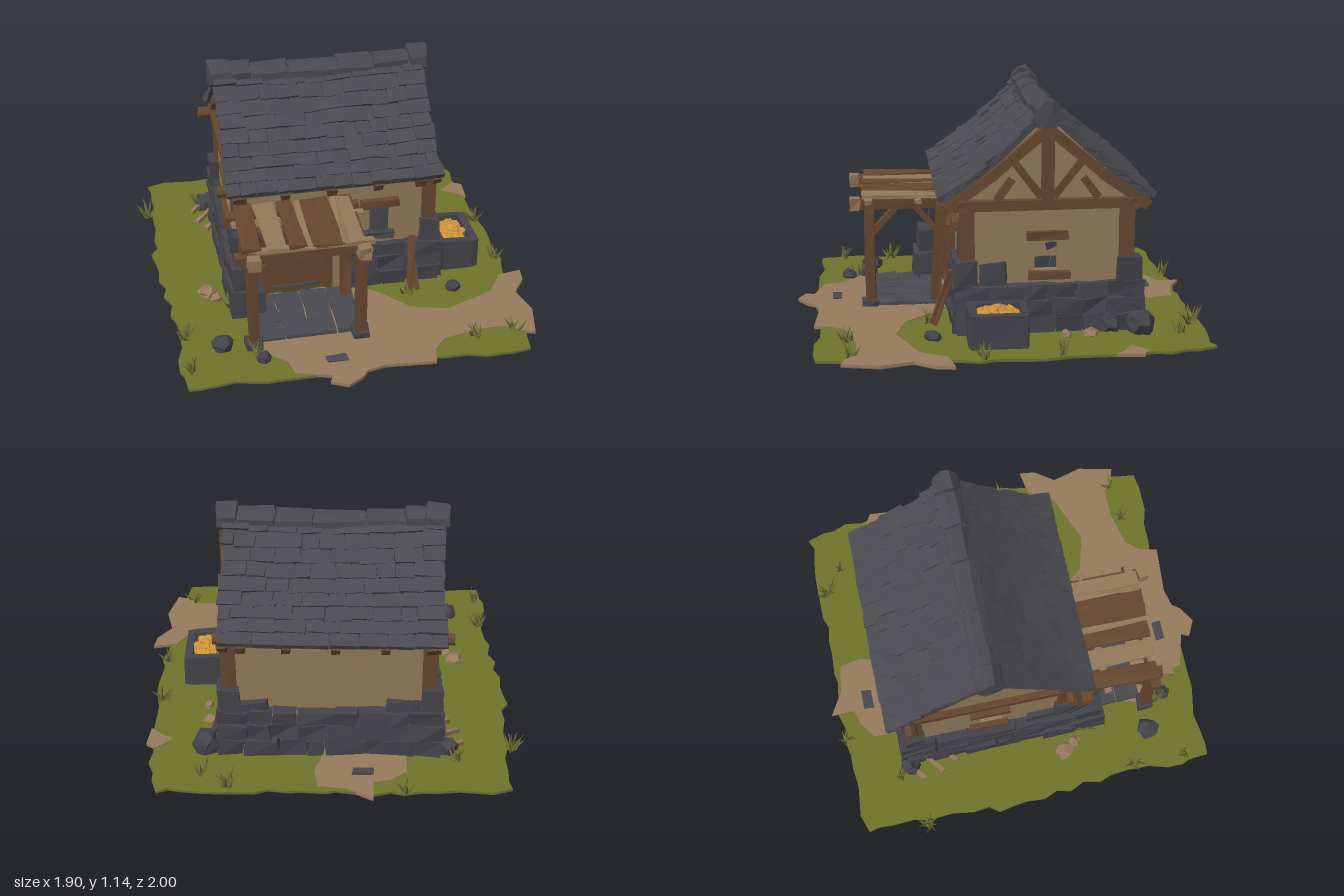
import * as THREE from 'three';
import { mergeGeometries } from 'three/addons/utils/BufferGeometryUtils.js';

const V = (x, y, z) => new THREE.Vector3(x, y, z);
const mat = (name, color) => Object.assign(new THREE.MeshStandardMaterial({ color }), { name });

export function createModel() {
  const slate = mat('slate', 0x49494f), stone = mat('stone', 0x43434a), wood = mat('wood', 0x664730),
    paleWood = mat('pale wood', 0x93785a), plaster = mat('plaster', 0x927a5b), grass = mat('grass', 0x6e742b),
    dirt = mat('dirt', 0x967b5d), earth = mat('earth', 0x6f5c4c), gold = mat('gold', 0xd0943a), blade = mat('grass blade', 0x6b6e35);

  let seed = 7;
  const rnd = (a = 0, b = 1) => {
    seed = (seed * 16807) % 2147483647;
    return a + (b - a) * seed / 2147483647;
  };

  // Geometries are gathered by part name and merged into one flat-faced mesh each
  const parts = new Map();
  function add(name, material, geo) {
    const g = geo.index ? geo.toNonIndexed() : geo, p = g.attributes.position;
    // Nothing but the earth slab reaches the underside
    if (material !== earth) for (let i = 0; i < p.count; i++) p.setY(i, Math.max(p.getY(i), 0.003));
    g.deleteAttribute('uv');
    g.computeVertexNormals();
    if (!parts.has(name)) parts.set(name, { material, list: [] });
    parts.get(name).list.push(g);
  }
  // Shift shared corners by the same irregular amount
  function rough(geo, amount) {
    const p = geo.attributes.position, k = rnd(0, 50);
    for (let i = 0; i < p.count; i++) {
      const n = Math.round(p.getX(i) * 1e3) * 1.7 + Math.round(p.getY(i) * 1e3) * 2.3 + Math.round(p.getZ(i) * 1e3) * 3.1 + k;
      p.setXYZ(i, p.getX(i) + amount * Math.sin(n), p.getY(i) + amount * Math.sin(n * 1.3 + 2), p.getZ(i) + amount * Math.sin(n * 1.7 + 4));
    }
    return geo;
  }
  const block = (name, m, x, y, z, w, h, d, j = 0.006, rx = 0, ry = 0) =>
    add(name, m, rough(new THREE.BoxGeometry(w, h, d), j).rotateX(rx).rotateY(ry).translate(x, y, z));
  // Timber between two points, square or round
  function beam(name, m, a, b, w, h = w, round = false) {
    const len = a.distanceTo(b);
    const g = round ? new THREE.CylinderGeometry(w / 2, w / 2, len, 8).rotateX(Math.PI / 2) : new THREE.BoxGeometry(w, h, len);
    const up = Math.abs(b.y - a.y) > 0.9 * len ? V(0, 0, 1) : V(0, 1, 0);
    const q = new THREE.Matrix4().lookAt(b, a, up).setPosition(a.clone().lerp(b, 0.5));
    add(name, m, rough(g, 0.003).applyMatrix4(q));
  }
  function rock(name, m, x, y, z, rx, ry, rz) {
    add(name, m, rough(new THREE.DodecahedronGeometry(1, 0), 0.13).scale(rx, ry, rz).translate(x, y, z));
  }
  // Flat ground layer with the given outline in x and z
  function layer(name, m, pts, y, depth) {
    const shape = new THREE.Shape(pts.map(([x, z]) => new THREE.Vector2(x, -z)));
    add(name, m, new THREE.ExtrudeGeometry(shape, { depth, bevelEnabled: false }).rotateX(-Math.PI / 2).translate(0, y, 0));
  }

  // Ragged ground
  const corners = [[-0.85, -0.93], [-0.3, -0.95], [0.81, -0.95], [0.86, -0.5], [0.87, 0.15], [0.83, 0.5], [0.81, 0.89], [-0.84, 0.88], [-0.85, 0.3], [-0.9, -0.15]];
  const edge = [];
  corners.forEach(([x, z], i) => {
    const [x2, z2] = corners[(i + 1) % corners.length], n = Math.ceil(Math.hypot(x2 - x, z2 - z) / 0.08);
    for (let k = 0; k < n; k++) edge.push([x + (x2 - x) * k / n + rnd(-0.02, 0.02), z + (z2 - z) * k / n + rnd(-0.02, 0.02)]);
  });
  const frontPath = [[-0.35, 0.2], [0.1, 0.25], [0.2, 0.33], [0.32, 0.47], [0.5, 0.52], [0.75, 0.42], [0.83, 0.29], [0.95, 0.27], [0.94, 0.35],
    [0.87, 0.45], [0.91, 0.6], [0.87, 0.78], [0.81, 0.76], [0.74, 0.71], [0.6, 0.71], [0.42, 0.75], [0.36, 0.82], [0.34, 0.91], [0.1, 0.89],
    [0.01, 0.91], [-0.02, 0.95], [-0.1, 1], [-0.18, 0.96], [-0.16, 0.92], [-0.33, 0.87], [-0.35, 0.78], [-0.5, 0.64], [-0.42, 0.4]];
  const backPath = [[-0.38, -0.6], [-0.38, -0.8], [-0.3, -0.86], [-0.22, -0.88], [-0.22, -1], [-0.1, -0.93], [0.04, -0.91], [0.06, -0.8], [0, -0.6]];
  const sidePatch = [[0.75, -0.56], [0.83, -0.63], [0.88, -0.6], [0.87, -0.47], [0.82, -0.52]];
  [edge, frontPath, backPath].forEach(p => layer('earthSlab', earth, p, 0, 0.004));
  layer('grassGround', grass, edge, 0.004, 0.01);
  [frontPath, backPath, sidePatch].forEach(p => layer('dirtPath', dirt, p, 0.004, 0.014));

  // Plaster walls with window openings
  const hole = (s, a, b, c, d) => s.holes.push(new THREE.Path([V(a, c), V(a, d), V(b, d), V(b, c)].map(p => new THREE.Vector2(p.x, p.y))));
  for (const x of [0.48, -0.46]) {
    const s = new THREE.Shape([[-0.6, 0], [0.2, 0], [0.2, 0.67], [-0.2, 0.99], [-0.6, 0.67]].map(p => new THREE.Vector2(...p)));
    hole(s, -0.25, -0.14, 0.31, 0.46);
    add('gableWalls', plaster, new THREE.ExtrudeGeometry(s, { depth: 0.04, bevelEnabled: false }).rotateY(-Math.PI / 2).translate(x, 0, 0));
  }
  block('longWalls', plaster, -0.01, 0.33, 0.18, 0.96, 0.66, 0.04, 0);
  block('longWalls', plaster, -0.01, 0.33, -0.58, 0.96, 0.66, 0.04, 0);

  // Sagging roof profile: s is the distance from the ridge
  const f = s => 1.085 - 1.03 * s + 0.43 * s * s;
  const sag = (x, s) => 0.035 * (x / 0.54) ** 2 * Math.max(0, 1 - s / 0.52);
  const top = [], under = [];
  for (let i = -8; i <= 8; i++) {
    const s = Math.abs(i) * 0.061;
    top.push(new THREE.Vector2(i * 0.061 - 0.2, f(s) - 0.02));
    under.unshift(new THREE.Vector2(i * 0.061 - 0.2, f(s) - 0.05));
  }
  const lining = new THREE.ExtrudeGeometry(new THREE.Shape([...top, ...under]), { depth: 1.03, steps: 8, bevelEnabled: false })
    .rotateY(-Math.PI / 2).translate(0.49, 0, 0);
  const lp = lining.attributes.position;
  for (let i = 0; i < lp.count; i++) lp.setY(i, lp.getY(i) + sag(lp.getX(i), Math.abs(lp.getZ(i) + 0.2)));
  add('roofLining', slate, lining);
  for (const side of [1, -1]) {
    for (let r = 0; r < 9; r++) {
      const s = 0.04 + r * 0.0545, a = Math.atan(1.03 - 0.86 * s);
      for (let x = -0.55 + rnd(-0.008, 0.008); x < 0.47;) {
        let w = rnd(0.07, 0.15);
        if (x + w > 0.45) w = 0.502 - x + rnd(-0.01, 0.01);
        const c = x + w / 2;
        block('roofShingles', slate, c, f(s) - 0.012 + sag(c, s) + rnd(-0.004, 0.004), -0.2 + side * s, w - 0.003, 0.024, 0.085, 0.004, side * (a - 0.11));
        x += w;
      }
    }
  }
  // Ridge stones
  const ridge = [-0.57, -0.46, -0.36, -0.18, 0.07, 0.25, 0.43, 0.53];
  for (let i = 0; i < 7; i++) {
    const w = ridge[i + 1] - ridge[i], c = ridge[i] + w / 2, r = i % 6 ? 0.062 : 0.068;
    add('ridgeStones', slate, rough(new THREE.CylinderGeometry(r, r, w - 0.006, 8).rotateZ(Math.PI / 2).rotateX(Math.PI / 8), 0.006)
      .translate(c, 1.035 + sag(c, 0), -0.2));
  }

  // Timber frame: wall plates, joist ends, corner posts and gable trusses
  for (const z of [0.2, -0.6]) {
    const out = z > 0 ? 1 : -1;
    beam('wallPlates', wood, V(-0.59, 0.635, z), V(0.53, 0.635, z), 0.06, 0.06, true);
    for (const x of [-0.48, -0.27, -0.04, 0.19, 0.4]) beam('joistEnds', wood, V(x, 0.66, z), V(x, 0.615, z + out * 0.085), 0.045);
    for (const x of [-0.485, 0.465]) beam('cornerPosts', wood, V(x, 0.2, z - out * 0.02), V(x, 0.62, z - out * 0.02), 0.07);
  }
  for (const x of [-0.505, 0.485]) {
    beam('gableBeams', wood, V(x, 0.635, 0.25), V(x, 0.635, -0.65), 0.05);
    for (const d of [1, -1]) {
      beam('rafters', wood, V(x, 0.99, -0.2), V(x, 0.785, -0.2 + d * 0.25), 0.04, 0.05);
      beam('rafters', wood, V(x, 0.785, -0.2 + d * 0.25), V(x, 0.615, -0.2 + d * 0.48), 0.04, 0.05);
      if (x > 0) {
        beam('trussBraces', wood, V(x, 0.67, -0.2 + d * 0.03), V(x, 0.85, -0.2 + d * 0.17), 0.035);
        beam('trussBraces', wood, V(x, 0.66, -0.2 + d * 0.24), V(x, 0.76, -0.2 + d * 0.17), 0.035);
      }
    }
  }
  beam('kingPost', wood, V(0.49, 0.64, -0.2), V(0.49, 1, -0.2), 0.055);
  beam('ridgePole', wood, V(-0.54, 0.99, -0.2), V(0.515, 0.99, -0.2), 0.055);

  // Windows
  for (const x of [-0.5, 0.485]) {
    block('windowTimbers', wood, x, 0.482, -0.2, 0.05, 0.042, 0.2, 0.003);
    block('windowTimbers', wood, x, 0.29, -0.21, 0.06, 0.036, 0.2, 0.003);
  }
  block('windowTimbers', wood, 0.212, 0.485, 0.21, 0.195, 0.042, 0.05, 0.003);
  block('windowSill', stone, 0.205, 0.3, 0.21, 0.16, 0.035, 0.05);
  block('windowPane', slate, 0.212, 0.38, 0.201, 0.095, 0.16, 0.008, 0.002);

  // Door with frame and iron straps
  for (let i = 0; i < 4; i++) block('doorPlanks', wood, -0.325 + i * 0.073, 0.195 + rnd(-0.008, 0.008), 0.225, 0.072, 0.34, 0.025, 0.002);
  for (const x of [-0.38, -0.05]) beam('doorFrame', wood, V(x, 0.02, 0.22), V(x, 0.39, 0.22), 0.035, 0.05);
  beam('doorFrame', wood, V(-0.41, 0.385, 0.225), V(-0.03, 0.385, 0.225), 0.06, 0.035);
  block('doorStraps', slate, -0.25, 0.335, 0.242, 0.17, 0.02, 0.009, 0.001);
  block('doorStraps', slate, -0.22, 0.06, 0.242, 0.24, 0.02, 0.009, 0.001);

  // Stone footing: courses of uneven blocks along each wall
  function course(a, b, y, h, depth) {
    const len = a.distanceTo(b), ang = Math.atan2(-(b.z - a.z), b.x - a.x), n = Math.max(1, Math.round(len / 0.14));
    const cuts = [...Array(n + 1)].map((_, i) => (i && i < n ? i + rnd(-0.22, 0.22) : i) / n);
    for (let i = 0; i < n; i++) {
      const p = a.clone().lerp(b, (cuts[i] + cuts[i + 1]) / 2);
      block('stoneFooting', stone, p.x, y + h / 2, p.z, (cuts[i + 1] - cuts[i]) * len - 0.003, h, depth + rnd(0, 0.02), 0.009, 0, ang);
    }
  }
  [[0, 0.1, 0.1], [0.095, 0.085, 0.085], [0.175, 0.075, 0.07]].forEach(([y, h, d]) => {
    course(V(0.05, 0, 0.2), V(0.52, 0, 0.2), y, h, d);
    course(V(-0.55, 0, -0.61), V(0.52, 0, -0.61), y, h, d + 0.02);
    course(V(0.48, 0, 0.24), V(0.48, 0, -0.66), y, h, d);
    course(V(-0.51, 0, 0.24), V(-0.51, 0, -0.66), y, h, d);
  });
  for (const [x, z, w, d, h] of [[0.465, 0.19, 0.09, 0.09, 0.36], [0.465, 0.06, 0.06, 0.14, 0.35], [0.465, -0.59, 0.1, 0.12, 0.36],
    [-0.49, -0.59, 0.1, 0.12, 0.36], [-0.49, 0.19, 0.1, 0.1, 0.43], [-0.49, 0.06, 0.06, 0.14, 0.32], [0.36, -0.61, 0.14, 0.05, 0.29], [-0.36, -0.61, 0.16, 0.06, 0.3]])
    block('cornerStones', stone, x, h - 0.07, z, w, 0.14, d, 0.012);
  for (const [x, y, z, w, h, d] of [[-0.48, 0.08, 0.3, 0.15, 0.15, 0.18], [-0.49, 0.22, 0.3, 0.13, 0.13, 0.15], [-0.47, 0.35, 0.25, 0.12, 0.13, 0.09]])
    block('stackedStones', stone, x, y, z, w, h, d, 0.013);

  // Flagstones under the porch
  for (let i = 0; i < 4; i++) for (let k = 0; k < 3; k++)
    block('flagstones', slate, -0.4 + i * 0.13, 0.022, 0.31 + k * 0.12, 0.126, 0.022, 0.116, 0.005);

  // Porch
  for (const x of [-0.49, 0.03]) {
    const d = x < 0 ? 1 : -1;
    beam('porchPosts', wood, V(x, 0.02, 0.63), V(x, 0.53, 0.63), 0.05);
    beam('porchPosts', wood, V(x + d * 0.01, 0.02, 0.31), V(x, 0.53, 0.27), 0.05);
    beam('porchBeams', wood, V(x, 0.54, 0.23), V(x, 0.54, 0.72), 0.05);
    block('postFeet', stone, x, 0.03, 0.63, 0.08, 0.04, 0.08);
    beam('porchBraces', wood, V(x, 0.4, 0.63), V(x + d * 0.11, 0.52, 0.63), 0.03);
    beam('porchBraces', wood, V(x, 0.39, 0.62), V(x, 0.52, 0.5), 0.03);
    beam('porchBraces', wood, V(x, 0.39, 0.29), V(x, 0.52, 0.4), 0.03);
    block('postCaps', paleWood, x, 0.54, 0.7, 0.06, 0.055, 0.05);
  }
  for (const z of [0.63, 0.28]) beam('porchBeams', wood, V(-0.57, 0.525, z), V(0.09, 0.525, z), 0.045);
  beam('porchLaths', paleWood, V(-0.55, 0.562, 0.39), V(0.09, 0.558, 0.39), 0.035, 0.018);
  beam('porchLaths', paleWood, V(-0.5, 0.562, 0.635), V(0.09, 0.558, 0.635), 0.035, 0.018);
  for (const [x, w, pale] of [[-0.485, 0.09], [-0.375, 0.095, 1], [-0.275, 0.075], [-0.22, 0.04, 1], [-0.17, 0.065], [-0.1, 0.08], [-0.045, 0.03, 1], [0.005, 0.07, 1]])
    block(pale ? 'palePorchPlanks' : 'porchPlanks', pale ? paleWood : wood, x, pale ? 0.572 : 0.577, 0.46 + rnd(-0.01, 0.01),
      w, 0.016, 0.4, 0.005, 0, rnd(-0.03, 0.03));
  // Loose timbers
  beam('leaningPlanks', wood, V(0.35, 0.02, 0.34), V(0.375, 0.29, 0.25), 0.03, 0.02);
  beam('leaningPlanks', wood, V(0.39, 0.02, 0.33), V(0.37, 0.24, 0.25), 0.02, 0.02);
  for (const [x, z] of [[-0.66, -0.58], [-0.64, -0.48], [-0.6, -0.4]]) beam('looseSticks', paleWood, V(x, 0.03, z), V(x + 0.1, 0.06, z - 0.09), 0.022);

  // Stone trough heaped with gold
  for (const d of [1, -1]) {
    block('trough', stone, 0.635 + d * 0.088, 0.09, 0.05, 0.034, 0.18, 0.27);
    block('trough', stone, 0.635, 0.09, 0.05 + d * 0.118, 0.15, 0.18, 0.036);
  }
  block('trough', stone, 0.635, 0.07, 0.05, 0.15, 0.13, 0.2);
  for (let i = 0; i < 26; i++) {
    const a = i * 2.4, r = Math.sqrt(i / 26), s = rnd(0.019, 0.029);
    rock('goldNuggets', gold, 0.635 + Math.cos(a) * r * 0.062, 0.178 - 0.028 * r, 0.05 + Math.sin(a) * r * 0.09, s, s, s);
  }

  // Scattered rocks
  for (const [x, z, r, h] of [[0.58, -0.64, 0.07, 0.075], [0.57, 0.35, 0.045, 0.03], [-0.64, 0.61, 0.06, 0.045], [-0.46, 0.74, 0.04, 0.035],
    [0.52, -0.5, 0.06, 0.06], [-0.58, -0.64, 0.05, 0.06]])
    rock('rocks', stone, x, h * 0.8, z, r, h, r);
  for (const [x, z] of [[-0.17, -0.8], [-0.12, 0.8]]) block('pathStones', slate, x, 0.018, z, 0.1, 0.016, 0.04);
  for (const [x, z, r] of [[-0.66, 0.16, 0.05], [-0.62, 0.22, 0.03], [0.58, -0.4, 0.04], [0.6, -0.28, 0.025]]) rock('paleRocks', dirt, x, 0.02, z, r, 0.03, r);

  // Grass tufts
  for (const [x, z, n] of [[-0.89, -0.61, 12], [0.47, -0.91, 12], [0.84, -0.23, 9], [0.85, 0.12, 7], [-0.81, 0.51, 11], [-0.8, 0.76, 8], [0.57, 0.75, 8],
    [-0.48, 0.7, 8], [-0.36, -0.94, 6], [0.33, 0.36, 6], [-0.62, -0.7, 6], [0.6, -0.82, 6], [-0.55, 0.28, 6], [0.78, 0.74, 5]])
    for (let i = 0; i < n; i++) {
      const h = rnd(0.045, 0.075) + n * 0.003;
      add('grassTufts', blade, new THREE.ConeGeometry(0.011, h, 3).translate(0, h / 2, 0).rotateZ(rnd(0.15, 0.8))
        .rotateY(i * 2.4).translate(x + rnd(-0.018, 0.018), 0.012, z + rnd(-0.018, 0.018)));
    }

  const group = new THREE.Group();
  group.name = 'cottage';
  for (const [name, { material, list }] of parts) {
    const mesh = new THREE.Mesh(mergeGeometries(list), material);
    mesh.name = name;
    group.add(mesh);
  }
  return group;
}
